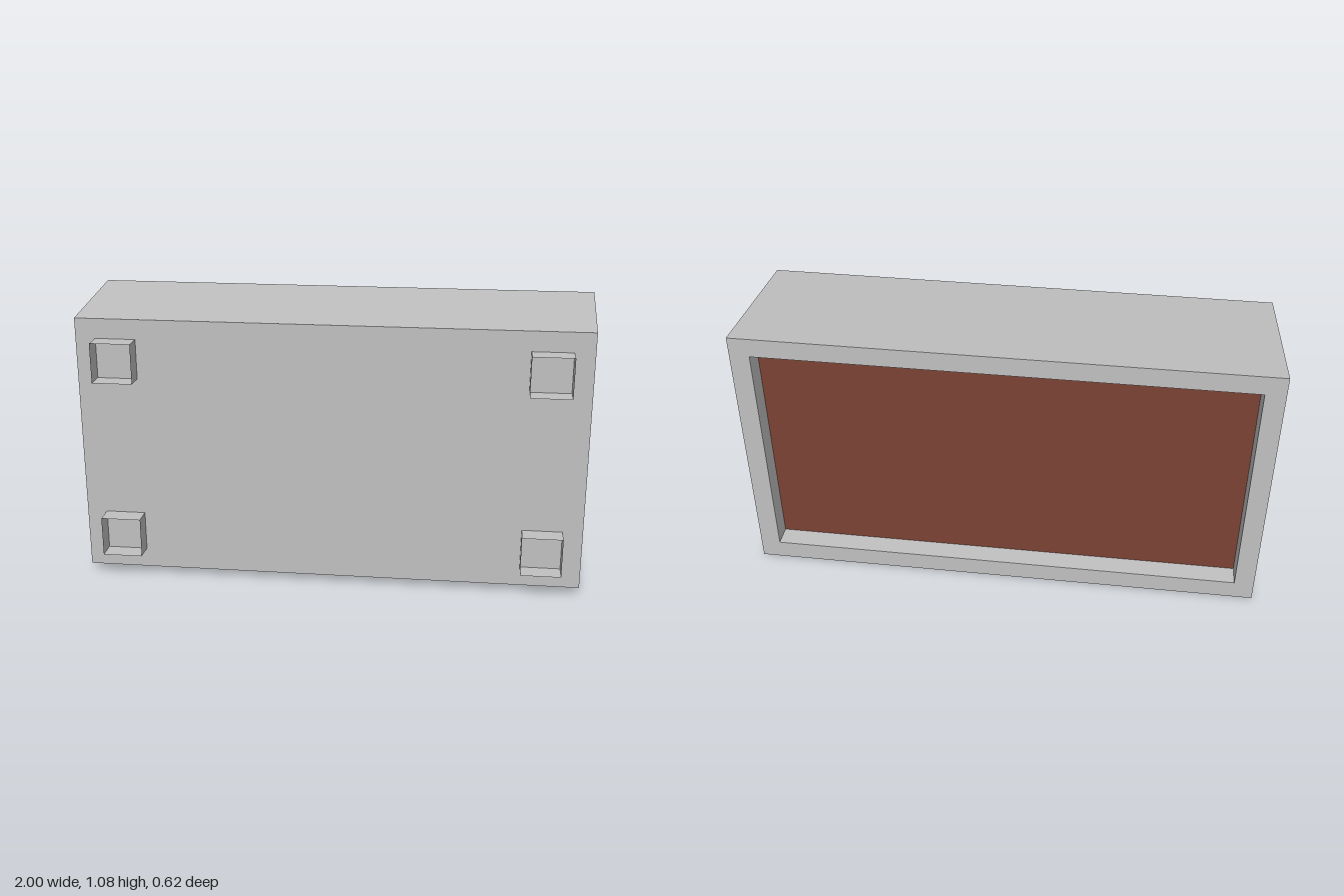
import * as THREE from 'three';

const CENTRE_Y = 0.539;

// Joins rectangles { w, h, z }, listed from front to back, into a flat-faced shell
function loft(rings) {
  const corners = rings.map(({ w, h, z }) => [
    [-w / 2, -h / 2, z], [w / 2, -h / 2, z], [w / 2, h / 2, z], [-w / 2, h / 2, z],
  ]);
  const points = [];
  for (let r = 0; r < corners.length - 1; r++) {
    const a = corners[r], b = corners[r + 1];
    for (let i = 0; i < 4; i++) {
      const j = (i + 1) % 4;
      points.push(...a[i], ...b[i], ...b[j], ...a[i], ...b[j], ...a[j]);
    }
  }
  const geometry = new THREE.BufferGeometry();
  geometry.setAttribute('position', new THREE.Float32BufferAttribute(points, 3));
  geometry.computeVertexNormals();
  return geometry;
}

export function createModel() {
  const model = new THREE.Group();
  model.name = 'planterBox';

  const grey = new THREE.MeshStandardMaterial({ color: 0xc0c0c0, side: THREE.DoubleSide });
  grey.name = 'lightGrey';
  const brown = new THREE.MeshStandardMaterial({ color: 0x7b4234 });
  brown.name = 'soilBrown';

  const add = (name, geometry, material, x, y, z) => {
    const mesh = new THREE.Mesh(geometry, material);
    mesh.name = name;
    mesh.position.set(x, y, z);
    model.add(mesh);
    return mesh;
  };

  // Tapered outer walls, flat rim and inner lip down to the soil
  add('boxWalls', loft([
    { w: 1.938, h: 1.014, z: 0.231 },
    { w: 2, h: 1.076, z: -0.308 },
    { w: 1.848, h: 0.924, z: -0.308 },
    { w: 1.842, h: 0.918, z: -0.231 },
  ]), grey, 0, CENTRE_Y, 0);

  // Closed base
  add('base', new THREE.PlaneGeometry(1.938, 1.014), grey, 0, CENTRE_Y, 0.231);

  // Soil recessed behind the rim
  add('soil', new THREE.PlaneGeometry(1.842, 0.918), brown, 0, CENTRE_Y, -0.231).rotation.y = Math.PI;

  // Four hollow feet, open at their ends
  const foot = loft([{ w: 0.154, h: 0.154, z: 0.308 }, { w: 0.154, h: 0.154, z: 0.231 }]);
  for (const sx of [-1, 1]) {
    for (const sy of [-1, 1]) {
      add(`${sy > 0 ? 'upper' : 'lower'}${sx > 0 ? 'Left' : 'Right'}Foot`, foot, grey,
        sx * 0.815, CENTRE_Y + sy * 0.353, 0);
    }
  }

  return model;
}
